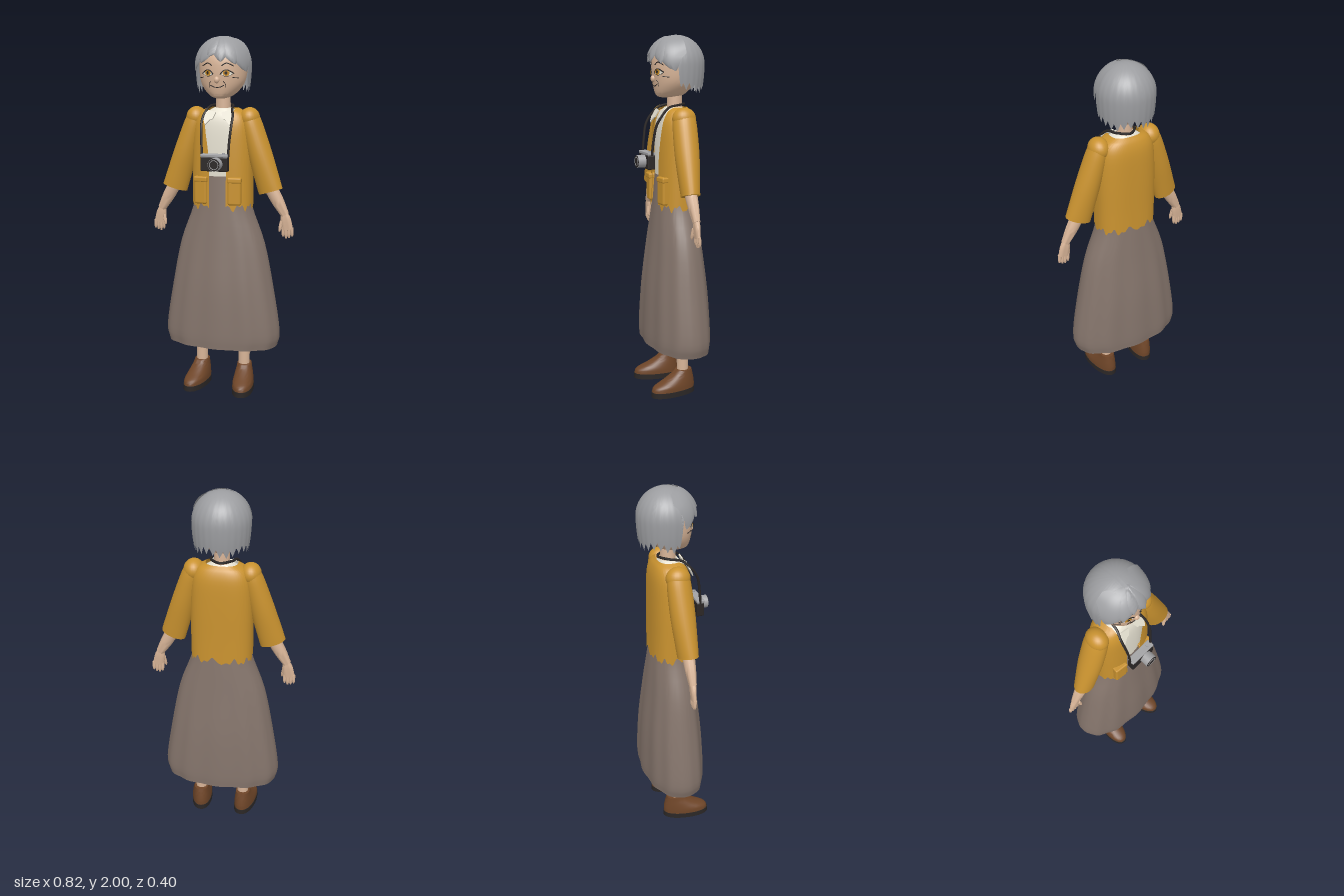
import * as THREE from 'three';
import { mergeVertices, toCreasedNormals } from 'three/addons/utils/BufferGeometryUtils.js';
import { RoundedBoxGeometry } from 'three/addons/geometries/RoundedBoxGeometry.js';

const V = (x, y, z) => new THREE.Vector3(x, y, z);
const lerp = THREE.MathUtils.lerp;
const spow = (c, n) => Math.sign(c) * Math.abs(c) ** (2 / n);

// Grid surface from a rule fn(u, v) -> [x, y, z]
function surface(nu, nv, fn, crease = 0.9) {
  const pos = [], idx = [];
  for (let j = 0; j <= nv; j++) for (let i = 0; i <= nu; i++) pos.push(...fn(i / nu, j / nv));
  for (let j = 0; j < nv; j++) for (let i = 0; i < nu; i++) {
    const a = j * (nu + 1) + i, b = a + nu + 1;
    idx.push(a, a + 1, b + 1, a, b + 1, b);
  }
  const g = new THREE.BufferGeometry();
  g.setAttribute('position', new THREE.Float32BufferAttribute(pos, 3));
  g.setIndex(idx);
  return toCreasedNormals(mergeVertices(g, 1e-5), crease);
}

// Superellipse rings [y, rx, centreZ, rz], listed bottom to top and joined by a smooth skin.
// opt.start(y, rx) gives the half angle of a front opening; opt.shift edits y; opt.ripple the radius.
function loft(rings, opt = {}) {
  const { n = 2, seg = 32, cap = true, start, ripple, shift, steps = 4 } = opt;
  const spline = new THREE.CubicInterpolant(rings.map((_, i) => i), rings.flat(), 4);
  const N = (rings.length - 1) * steps;
  return surface(seg, N + 2, (u, v) => {
    const j = Math.round(v * (N + 2)) - 1;
    const [y, rx, cz, rz] = spline.evaluate(THREE.MathUtils.clamp(j, 0, N) / steps);
    let k = cap && (j < 0 || j > N) ? 0 : 1;
    const t0 = start ? start(y, rx, n) : 0;
    const t = lerp(t0, Math.PI * 2 - t0, u);
    if (ripple) k *= 1 + ripple(t, y);
    return [k * rx * spow(Math.sin(t), n), y + (shift ? shift(t, Math.max(j, 0) / N) : 0), cz + k * rz * spow(Math.cos(t), n)];
  });
}

export function createModel() {
  const root = new THREE.Group();
  const mat = (name, color, open) => {
    const m = new THREE.MeshStandardMaterial({ color });
    m.name = name;
    if (open) m.side = THREE.DoubleSide;
    return m;
  };
  const skin = mat('skin', 0xd8b497), hair = mat('grey hair', 0x9c9da0, true);
  const mustard = mat('mustard wool', 0xc9922f, true), taupe = mat('taupe cloth', 0x84746b, true);
  const leather = mat('brown leather', 0x6e4528), dark = mat('charcoal', 0x2b2726, true);
  const cream = mat('cream cotton', 0xe8e3d3, true), silver = mat('silver', 0xa2a2a4);
  const amber = mat('amber', 0xc98a22, true);

  const add = (name, geo, m, x = 0, y = 0, z = 0) => {
    const mesh = new THREE.Mesh(geo, m);
    mesh.name = name;
    mesh.position.set(x, y, z);
    root.add(mesh);
    return mesh;
  };
  const tube = (name, pts, r, m, seg = 12) =>
    add(name, new THREE.TubeGeometry(new THREE.CatmullRomCurve3(pts), seg, r, 6), m);
  // Tapered limb from a to b; sections are [share of length, rx, rz]
  const limb = (name, m, a, b, sections, seg = 20) => {
    const d = b.clone().sub(a), L = d.length();
    const mesh = add(name, loft(sections.map(([t, rx, rz]) => [t * L, rx, 0, rz]), { seg }), m, a.x, a.y, a.z);
    mesh.quaternion.setFromUnitVectors(V(0, 1, 0), d.normalize());
  };

  // Skirt, with folds deepening towards the hem
  add('skirt', loft([
    [0.265, 0.322, -0.026, 0.165], [0.35, 0.335, -0.026, 0.167], [0.6, 0.296, -0.026, 0.156],
    [0.86, 0.243, -0.025, 0.13], [1.07, 0.168, -0.024, 0.11], [1.245, 0.142, -0.02, 0.092],
  ], { n: 2.2, seg: 96, cap: false, ripple: (t, y) => 0.022 * Math.min(1, (1.3 - y) / 0.7) * Math.cos(12 * t) * Math.abs(Math.cos(t)) }), taupe);

  // Shirt
  add('shirt', loft([
    [1.2, 0.135, -0.022, 0.085], [1.4, 0.14, -0.022, 0.088], [1.52, 0.135, -0.022, 0.083],
    [1.58, 0.1, -0.022, 0.068], [1.615, 0.05, -0.025, 0.045],
  ], { n: 2.5, seg: 40 }), cream);

  // Open jacket with an uneven hem
  add('jacket', loft([
    [1.075, 0.171, -0.026, 0.113], [1.2, 0.17, -0.026, 0.111], [1.38, 0.168, -0.027, 0.109],
    [1.52, 0.158, -0.028, 0.103], [1.585, 0.132, -0.03, 0.085], [1.615, 0.085, -0.03, 0.062],
  ], {
    n: 2.6, seg: 120, cap: false,
    start: (y, rx, n) => Math.asin(Math.min(0.95, (0.048 + 0.03 * THREE.MathUtils.smoothstep(y, 1.3, 1.58)) / rx) ** (n / 2)),
    shift: (t, v) => (1 - v) ** 6 * (0.014 * Math.sin(11 * t) + 0.01 * Math.sin(23 * t + 1)),
  }), mustard);

  // Neck and head
  add('neck', new THREE.CylinderGeometry(0.04, 0.042, 0.15, 24), skin, 0, 1.655, -0.03);
  const head = add('head', loft([
    [1.668, 0.025, 0.02, 0.035], [1.678, 0.055, 0.0, 0.073], [1.705, 0.088, -0.012, 0.095],
    [1.75, 0.118, -0.025, 0.115], [1.81, 0.13, -0.035, 0.13], [1.88, 0.13, -0.04, 0.13],
    [1.94, 0.1, -0.04, 0.1], [1.975, 0.05, -0.04, 0.05],
  ], { n: 2.1, seg: 48 }), skin);

  // Facial details, laid on the head surface
  head.updateMatrixWorld();
  const ray = new THREE.Raycaster();
  const onFace = (x, y, lift = 0.001) => {
    ray.set(V(x, y, 1), V(0, 0, -1));
    const hit = ray.intersectObject(head)[0];
    return V(x, y, (hit ? hit.point.z : 0.05) + lift);
  };
  const disc = (name, x, y, rx, ry, lift, m) => {
    const g = new THREE.CircleGeometry(1, 20), p = g.attributes.position;
    for (let i = 0; i < p.count; i++) {
      const q = onFace(x + p.getX(i) * rx, y + p.getY(i) * ry, lift);
      p.setXYZ(i, q.x, q.y, q.z);
    }
    g.computeVertexNormals();
    add(name, g, m);
  };
  const line = (name, pts, r, m = dark) => tube(name, pts.map(([x, y]) => onFace(x, y)), r, m);
  for (const s of [-1, 1]) {
    disc('eyeWhite', s * 0.052, 1.803, 0.031, 0.015, 0.002, cream);
    disc('iris', s * 0.051, 1.804, 0.017, 0.015, 0.004, amber);
    disc('pupil', s * 0.051, 1.805, 0.007, 0.009, 0.006, dark);
    line('upperLid', [[s * 0.019, 1.797], [s * 0.035, 1.815], [s * 0.055, 1.82], [s * 0.088, 1.802]], 0.0035);
    line('lowerLid', [[s * 0.024, 1.796], [s * 0.05, 1.787], [s * 0.08, 1.797]], 0.0016);
    line('eyebrow', [[s * 0.026, 1.842], [s * 0.05, 1.856], [s * 0.085, 1.842]], 0.003);
    line('cheekLine', [[s * 0.08, 1.781], [s * 0.106, 1.778]], 0.0025);
    line('smileLine', [[s * 0.034, 1.762], [s * 0.046, 1.745], [s * 0.045, 1.728]], 0.0014);
  }
  line('mouth', [[-0.038, 1.74], [-0.015, 1.73], [0.015, 1.73], [0.038, 1.74]], 0.0025);
  add('nose', new THREE.SphereGeometry(1, 16, 12), skin, 0, 1.768, 0.094).scale.set(0.015, 0.018, 0.014);

  // Bobbed hair: a dome with a jagged hem and an opening for the face
  const TEETH = 26;
  add('hairBob', surface(TEETH * 6, 22, (u, v) => {
    const t = u * Math.PI * 2, a = Math.min(t, Math.PI * 2 - t);
    const side = THREE.MathUtils.smoothstep(a, 1.15, 1.4);
    const tooth = Math.abs(((u * TEETH) % 1) * 2 - 1);
    const hem = lerp(1.915, 1.7, side) + 0.04 * tooth * side + 0.01 * side * Math.sin(5 * t);
    const y = lerp(hem, 2, Math.sin(v * Math.PI / 2));
    const k = y > 1.845 ? Math.sqrt(Math.max(0, 1 - ((y - 1.845) / 0.155) ** 2)) : 1 - 0.07 * ((1.845 - y) / 0.13) ** 2;
    const groove = 1 - 0.012 * tooth * (1 - v) * side;
    return [0.154 * k * groove * Math.sin(t), y, -0.04 + 0.155 * k * groove * Math.cos(t)];
  }), hair);

  // Fringe locks: leaf-shaped patches over the dome; [start, bend, tip, half width]
  const locks = [
    [[-0.02, 1.985], [-0.1, 1.96], [-0.142, 1.815], 0.034],
    [[0.03, 1.985], [0.11, 1.955], [0.143, 1.81], 0.034],
    [[-0.01, 1.99], [-0.06, 1.95], [-0.09, 1.855], 0.042],
    [[0.02, 1.99], [0.075, 1.95], [0.1, 1.85], 0.04],
    [[0.005, 1.992], [0.02, 1.95], [0.03, 1.862], 0.04],
    [[0, 1.99], [-0.02, 1.95], [-0.04, 1.89], 0.036],
  ];
  locks.forEach(([a, b, c, w], i) => {
    const path = new THREE.QuadraticBezierCurve(...[a, b, c].map(p => new THREE.Vector2(...p)));
    add('fringeLock', surface(10, 16, (u, v) => {
      const p = path.getPoint(1 - v), d = path.getTangent(1 - v), e = u * 2 - 1;
      const h = e * w * (0.12 * v + Math.sin(Math.PI * (1 - v) ** 1.2) ** 0.75);
      const x = p.x - d.y * h, y = p.y + d.x * h;
      const q = Math.max(0, 1 - (x / 0.158) ** 2 - ((y - 1.845) / 0.158) ** 2);
      return [x, y, -0.04 + 0.154 * Math.sqrt(q) + 0.008 * (1 - e * e) + 0.001 * i];
    }), hair);
  });

  for (const s of [-1, 1]) {
    // Sleeves
    add('shoulder', new THREE.SphereGeometry(1, 24, 16), mustard, s * 0.153, 1.56, -0.024).scale.set(0.056, 0.06, 0.065);
    limb('sleeve', mustard, V(s * 0.152, 1.57, -0.024), V(s * 0.279, 1.162, -0.01),
      [[0, 0.05, 0.06], [0.15, 0.058, 0.066], [0.5, 0.066, 0.066], [0.85, 0.07, 0.056], [1, 0.071, 0.051]], 28);

    // Forearm, hand and fingers
    limb('forearm', skin, V(s * 0.28, 1.18, -0.01), V(s * 0.362, 1.035, -0.01), [[0, 0.037, 0.034], [0.5, 0.034, 0.029], [1, 0.023, 0.02]]);
    limb('hand', skin, V(s * 0.358, 1.045, -0.01), V(s * 0.376, 0.953, -0.01), [[0, 0.019, 0.017], [0.4, 0.03, 0.017], [1, 0.032, 0.012]]);
    for (let i = 0; i < 4; i++)
      limb('finger', skin, V(s * (0.351 + i * 0.0165), 0.965, -0.01), V(s * (0.352 + i * 0.017), 0.9 + Math.abs(i - 1.3) * 0.009, -0.012),
        [[0, 0.009, 0.01], [0.7, 0.008, 0.009], [1, 0.004, 0.005]], 10);
    limb('thumb', skin, V(s * 0.345, 1.0, -0.002), V(s * 0.334, 0.942, 0.006), [[0, 0.011, 0.01], [0.7, 0.009, 0.009], [1, 0.004, 0.004]], 10);

    // Legs and shoes, toes turned slightly out
    add('leg', new THREE.CylinderGeometry(0.036, 0.032, 0.6, 24), skin, s * 0.128, 0.4, -0.03);
    const upper = add('shoe', loft([
      [0.028, 0.059, 0.032, 0.132], [0.055, 0.058, 0.026, 0.126], [0.085, 0.052, -0.003, 0.092],
      [0.115, 0.045, -0.026, 0.062], [0.138, 0.041, -0.036, 0.046],
    ], { n: 2.2 }), leather, s * 0.134);
    const sole = add('sole', loft([[0, 0.061, 0.032, 0.135], [0.03, 0.061, 0.032, 0.135]], { n: 2.2, steps: 1 }), dark, s * 0.134);
    upper.rotation.y = sole.rotation.y = s * 0.13;

    // Pockets
    const pocket = add('pocket', new RoundedBoxGeometry(0.074, 0.15, 0.04, 3, 0.012), mustard, s * 0.095, 1.165, 0.073);
    pocket.rotation.y = s * 0.12;
    const flap = add('pocketFlap', new RoundedBoxGeometry(0.078, 0.03, 0.046, 2, 0.008), mustard, s * 0.095, 1.228, 0.073);
    flap.rotation.y = s * 0.12;

    // Shirt collar
    const flapShape = new THREE.Shape([[0.015, 0.075], [0.06, 0.085], [0.088, 0.05], [0.07, 0], [0.045, 0.03], [0.03, 0.035]]
      .map(([x, y]) => new THREE.Vector2(s * x, y)));
    const collar = add('collar', new THREE.ExtrudeGeometry(flapShape, { depth: 0.007, bevelEnabled: false }), cream, 0, 1.525, 0.083);
    collar.rotation.x = -0.42;
  }

  // Camera on its neck strap
  const half = [[0.074, 1.36, 0.13], [0.078, 1.44, 0.122], [0.084, 1.52, 0.107], [0.083, 1.575, 0.073], [0.068, 1.615, 0.028], [0.055, 1.628, -0.04]];
  tube('strap', [...half.map(p => V(...p)), V(0, 1.63, -0.085), ...half.reverse().map(([x, y, z]) => V(-x, y, z))], 0.007, dark, 70);
  add('cameraBody', new RoundedBoxGeometry(0.152, 0.078, 0.042, 3, 0.006), dark, 0, 1.322, 0.132);
  add('cameraTop', new RoundedBoxGeometry(0.152, 0.016, 0.042, 2, 0.004), silver, 0, 1.368, 0.132);
  add('shutterButton', new THREE.CylinderGeometry(0.009, 0.009, 0.01, 16), silver, 0.05, 1.378, 0.132);
  const round = (name, r, len, m, z) => {
    add(name, new THREE.CylinderGeometry(r, r, len, 32), m, 0.015, 1.325, z).rotation.x = Math.PI / 2;
  };
  round('lensBarrel', 0.035, 0.045, silver, 0.174);
  round('lensFront', 0.033, 0.006, dark, 0.196);
  add('lensRing', new THREE.TorusGeometry(0.024, 0.002, 6, 28), silver, 0.015, 1.325, 0.199);

  return root;
}
